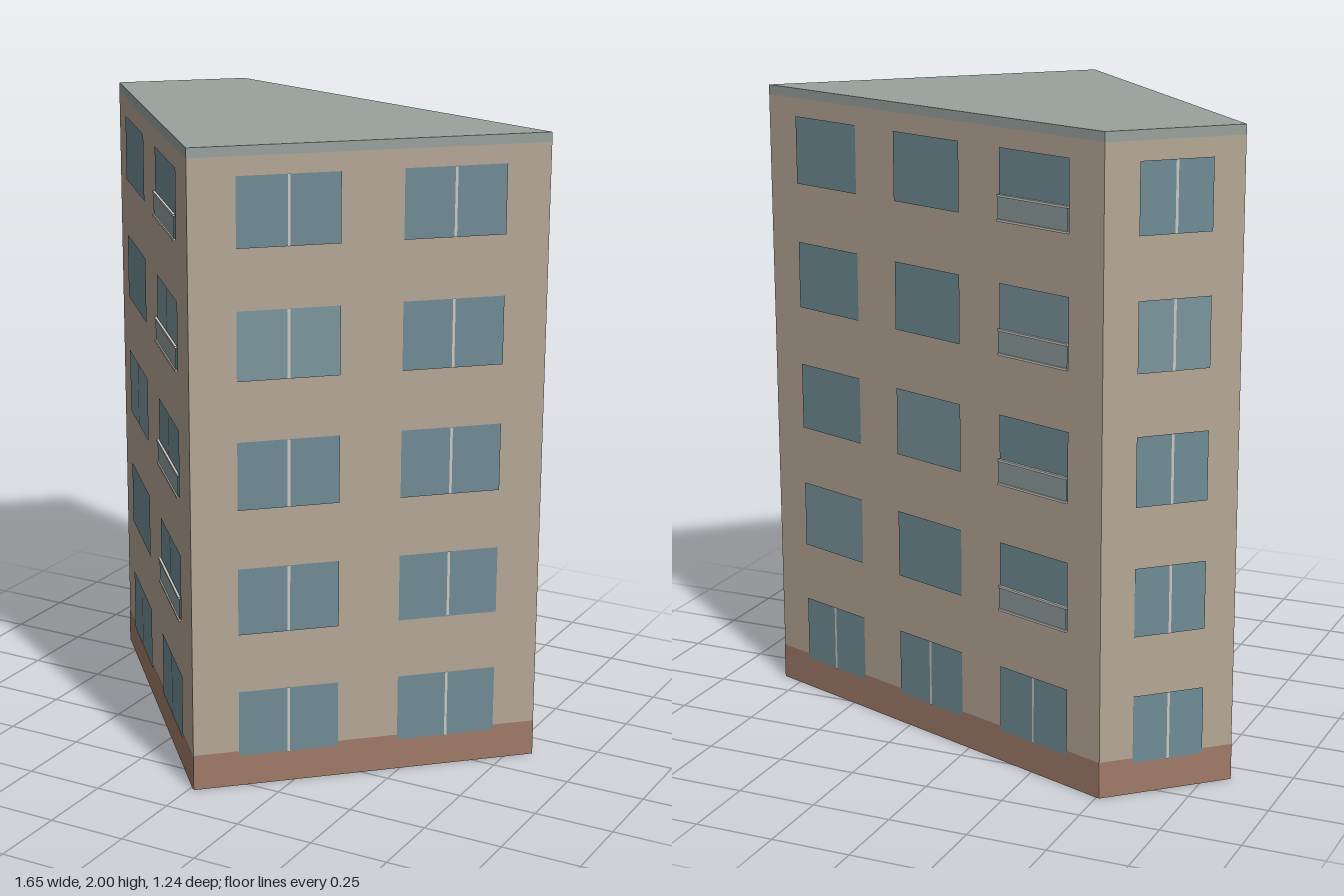
import * as THREE from 'three';

const paint = (color, side = THREE.FrontSide) => {
  const m = new THREE.MeshStandardMaterial({ side });
  m.color.set(color);
  return m;
};

export function createModel() {
  const model = new THREE.Group();
  model.name = 'apartmentBlock';

  const wallMat = paint(0xb5a796, THREE.DoubleSide);
  const plinthMat = paint(0xa07b68);
  const roofMat = paint(0x98a29d);
  const glassMat = paint(0x708c95);
  const litGlassMat = paint(0x7b969e);
  const frameMat = paint(0xc9c8c2);
  const panelMat = paint(0x8f9d9d, THREE.DoubleSide);

  const H = 2, EAVE = 1.97, PLINTH = 0.115;
  const FLOORS = 5, SILL = 0.1, STOREY = 0.4, WIN_H = 0.213;

  // Footprint corners (x, z): left, front, right, back
  const corners = [[-0.825, -0.33], [0.015, 0.615], [0.82, -0.14], [-0.51, -0.62]];

  // One entry per wall: window spans as fractions of its length,
  // the column with balconies, which windows have a mullion and which are paler
  const facades = [
    { name: 'frontLeftWall', spans: [[0.118, 0.41], [0.585, 0.876]], balcony: 1,
      mullion: (c, f) => (c === 0 ? f === 0 || f === 2 : f < 4), pale: ['0,2', '1,3'] },
    { name: 'frontRightWall', spans: [[0.13, 0.416], [0.59, 0.876]], balcony: -1,
      mullion: () => true, pale: ['0,3'] },
    { name: 'backWall', spans: [[0.09, 0.283], [0.402, 0.598], [0.715, 0.91]], balcony: 2,
      mullion: (c, f) => f === 0, pale: ['0,1', '1,2', '2,3'] },
    { name: 'leftWall', spans: [[0.245, 0.77]], balcony: -1,
      mullion: () => true, pale: ['0,3'] },
  ];

  // Flat panel in wall coordinates: x along the wall, z outwards
  const panel = (parent, name, mat, x0, x1, y0, y1, z) => {
    const mesh = new THREE.Mesh(new THREE.PlaneGeometry(x1 - x0, y1 - y0), mat);
    mesh.position.set((x0 + x1) / 2, (y0 + y1) / 2, z);
    mesh.name = name;
    parent.add(mesh);
  };
  const bar = (parent, name, mat, x0, x1, y0, y1, z0, z1) => {
    const mesh = new THREE.Mesh(new THREE.BoxGeometry(x1 - x0, y1 - y0, z1 - z0), mat);
    mesh.position.set((x0 + x1) / 2, (y0 + y1) / 2, (z0 + z1) / 2);
    mesh.name = name;
    parent.add(mesh);
  };

  facades.forEach((facade, i) => {
    const [ax, az] = corners[i];
    const [bx, bz] = corners[(i + 1) % corners.length];
    const length = Math.hypot(bx - ax, bz - az);
    const side = new THREE.Group();
    side.name = facade.name;
    side.position.set(ax, 0, az);
    side.rotation.y = Math.atan2(az - bz, bx - ax);
    model.add(side);

    panel(side, 'wall', wallMat, 0, length, 0, EAVE, 0);
    panel(side, 'plinth', plinthMat, 0, length, 0, PLINTH, 0.002);

    facade.spans.forEach(([s, e], col) => {
      const x0 = s * length, x1 = e * length, mid = (x0 + x1) / 2;
      for (let floor = 0; floor < FLOORS; floor++) {
        const y = SILL + floor * STOREY;
        const pale = facade.pale.includes(`${col},${floor}`);
        panel(side, 'window', pale ? litGlassMat : glassMat, x0, x1, y, y + WIN_H, 0.004);
        if (facade.mullion(col, floor)) {
          panel(side, 'mullion', frameMat, mid - 0.004, mid + 0.004, y, y + WIN_H, 0.006);
        }
        // Shallow balcony guard with a rail above and below
        if (col === facade.balcony && floor > 0) {
          panel(side, 'balconyPanel', panelMat, x0, x1, y, y + 0.075, 0.01);
          bar(side, 'balconyTopRail', frameMat, x0, x1, y + 0.07, y + 0.077, 0.006, 0.014);
          bar(side, 'balconyBottomRail', frameMat, x0, x1, y - 0.003, y + 0.004, 0.006, 0.014);
        }
      }
    });
  });

  // Flat roof slab following the footprint
  const outline = new THREE.Shape(corners.map(([x, z]) => new THREE.Vector2(x, -z)));
  const slab = new THREE.ExtrudeGeometry(outline, { depth: H - EAVE, bevelEnabled: false });
  slab.rotateX(-Math.PI / 2);
  const roof = new THREE.Mesh(slab, roofMat);
  roof.position.y = EAVE;
  roof.name = 'roof';
  model.add(roof);

  return model;
}
